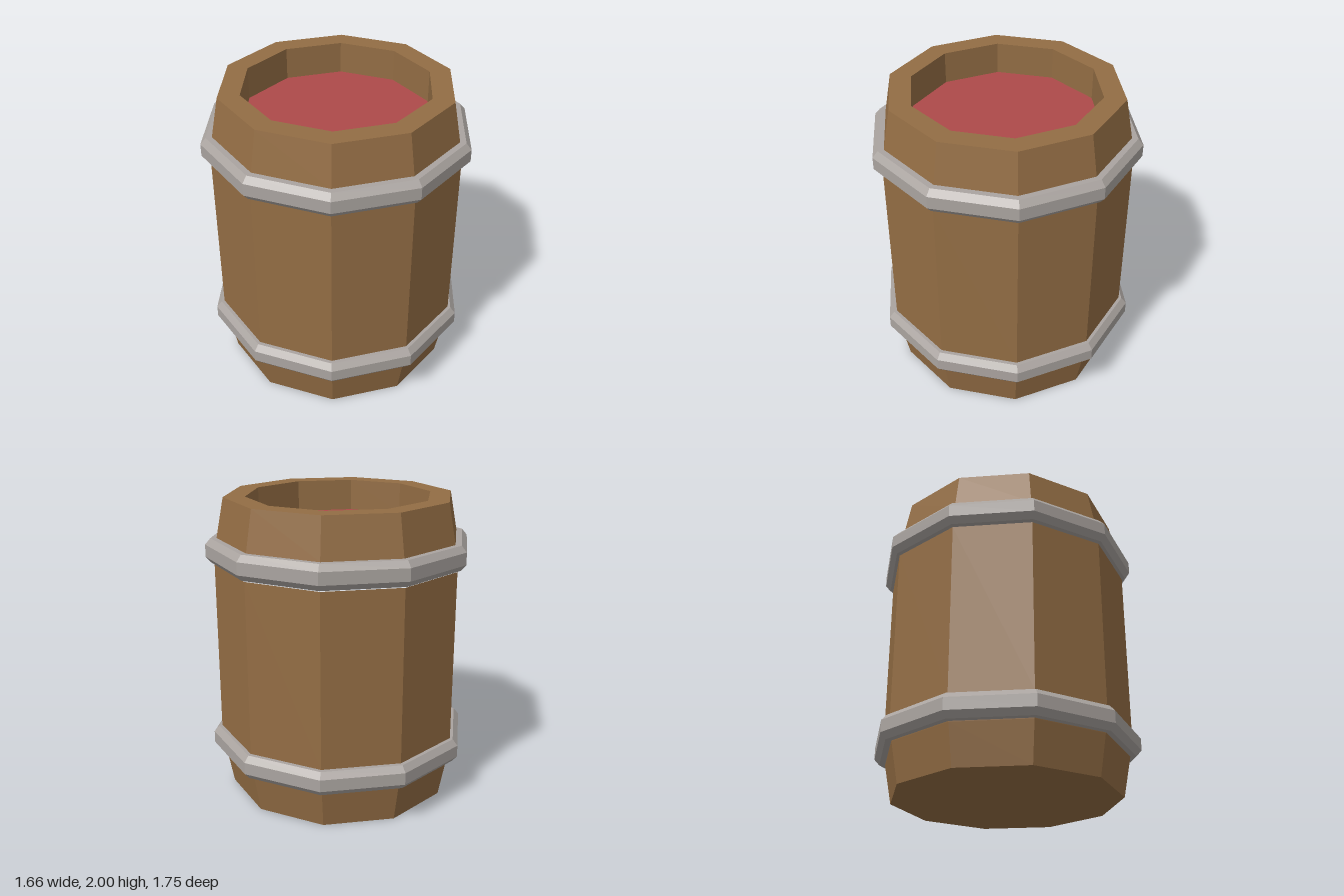
import * as THREE from 'three';

const SIDES = 10;

const wood = new THREE.MeshStandardMaterial({ color: 0x936d44 });
wood.name = 'wood';
const iron = new THREE.MeshStandardMaterial({ color: 0xaaa4a0 });
iron.name = 'iron';
const red = new THREE.MeshStandardMaterial({ color: 0xad4a4a });
red.name = 'red';

// Ten-sided turned part with flat faces; profile points are [radius, y]
function turned(name, profile, material) {
  const points = profile.map(([r, y]) => new THREE.Vector2(r, y));
  const geometry = new THREE.LatheGeometry(points, SIDES).toNonIndexed();
  geometry.computeVertexNormals();
  const mesh = new THREE.Mesh(geometry, material);
  mesh.name = name;
  return mesh;
}

// Metal band with bevelled outer edges
function hoop(name, y) {
  const profile = [
    [0.79, -0.08], [0.84, -0.08], [0.875, -0.04],
    [0.875, 0.04], [0.84, 0.08], [0.79, 0.08],
  ];
  const mesh = turned(name, profile, iron);
  mesh.position.y = y;
  return mesh;
}

export function createModel() {
  const barrel = new THREE.Group();
  barrel.name = 'barrel';

  // Closed, tapered foot
  barrel.add(turned('lowerStaves', [[0, 0], [0.75, 0], [0.8, 0.26], [0.82, 0.42]], wood));

  // Straight middle staves
  barrel.add(turned('middleStaves', [[0.82, 0.43], [0.82, 1.57]], wood));

  // Tapered top with a flat rim and a recessed inner wall
  barrel.add(turned('upperStaves',
    [[0.82, 1.58], [0.8, 1.74], [0.75, 2], [0.61, 2], [0.61, 1.79]], wood));

  // Contents filling the recess
  barrel.add(turned('contents', [[0.61, 1.79], [0, 1.79]], red));

  barrel.add(hoop('lowerHoop', 0.345), hoop('upperHoop', 1.66));
  return barrel;
}
